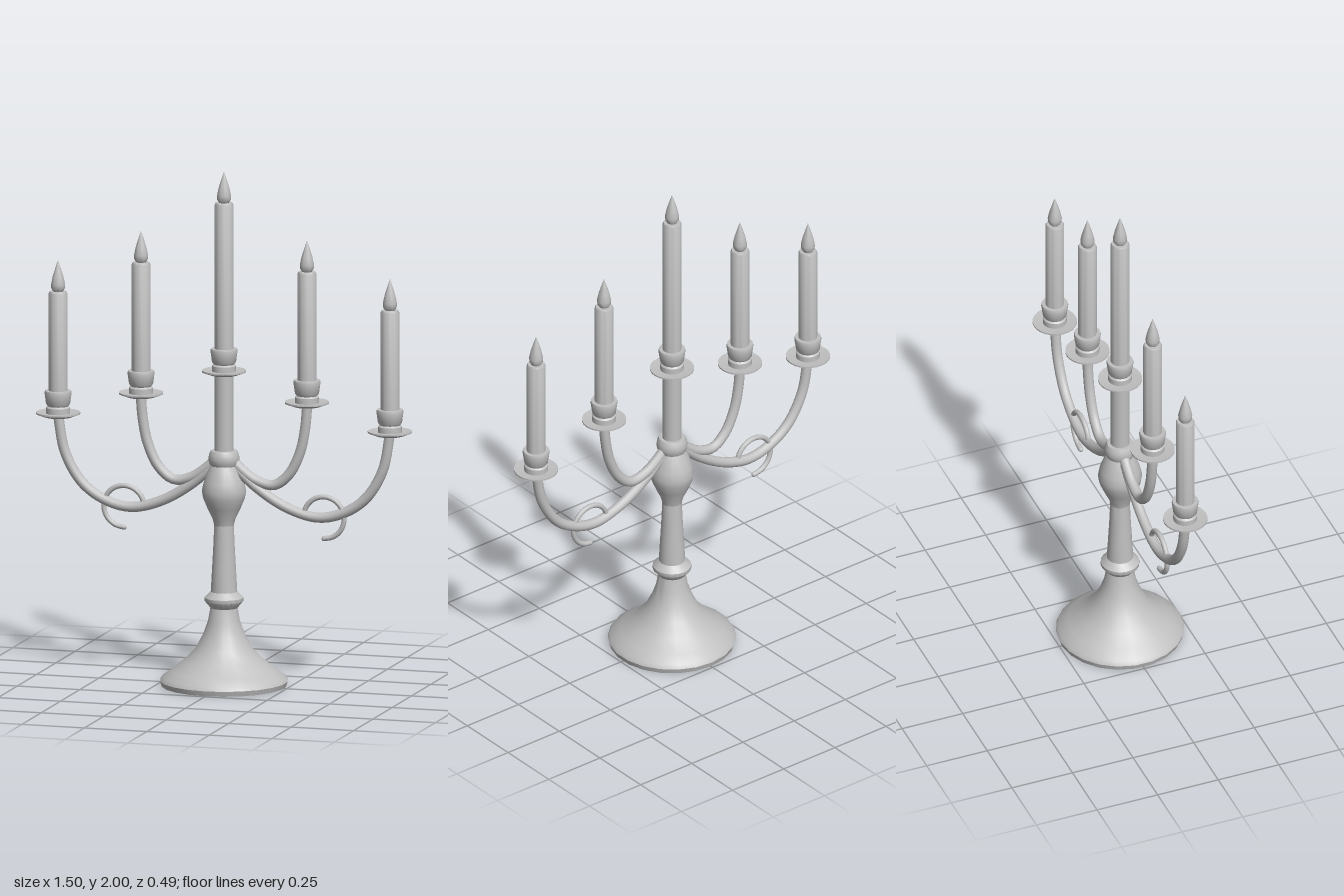
import * as THREE from 'three';
import { toCreasedNormals } from 'three/addons/utils/BufferGeometryUtils.js';

export function createModel() {
  const model = new THREE.Group();
  model.name = 'candelabra';
  const grey = new THREE.MeshStandardMaterial({ color: 0xc0c0c0 });
  grey.name = 'plain grey';

  const add = (parent, name, geometry, x = 0, y = 0) => {
    const mesh = new THREE.Mesh(geometry, grey);
    mesh.name = name;
    mesh.position.set(x, y, 0);
    parent.add(mesh);
    return mesh;
  };
  // Turned part from [radius, height] pairs, listed bottom to top
  const turned = (profile, sides = 20) => toCreasedNormals(
    new THREE.LatheGeometry(profile.map(([r, y]) => new THREE.Vector2(r, y)), sides), 0.7);

  // Foot, collar and shaft
  add(model, 'foot', turned([
    [0, 0], [0.24, 0], [0.246, 0.02], [0.237, 0.035], [0.2, 0.06], [0.152, 0.1], [0.108, 0.145],
    [0.08, 0.2], [0.062, 0.25], [0.052, 0.305]], 22));
  add(model, 'collar', turned([[0, 0.302], [0.052, 0.302], [0.074, 0.328], [0.074, 0.342], [0.05, 0.366], [0, 0.366]]));
  add(model, 'shaft', turned([[0.051, 0.36], [0.046, 0.45], [0.04, 0.56], [0.037, 0.65]]));

  // Swelling, bead and upper stem
  add(model, 'bulb', turned([
    [0.037, 0.62], [0.044, 0.648], [0.064, 0.69], [0.08, 0.728], [0.085, 0.757], [0.078, 0.79],
    [0.064, 0.83], [0.052, 0.856]]));
  add(model, 'bead', turned([[0.05, 0.852], [0.057, 0.865], [0.06, 0.882], [0.057, 0.9], [0.05, 0.914], [0, 0.916]]));
  add(model, 'stem', new THREE.CylinderGeometry(0.037, 0.037, 0.32, 20), 0, 1.06);

  // Drip pan, cup, candle and flame, measured from the pan's underside
  const panGeometry = turned([[0, 0], [0.052, 0], [0.085, 0.012], [0.085, 0.018], [0.05, 0.014], [0, 0.014]], 24);
  const cupGeometry = turned([
    [0.046, 0.012], [0.046, 0.036], [0.04, 0.042], [0.046, 0.05], [0.052, 0.094], [0.05, 0.102], [0.036, 0.102]]);
  const flameGeometry = turned([
    [0, 0], [0.018, 0.001], [0.026, 0.014], [0.027, 0.03], [0.021, 0.06], [0.011, 0.092], [0, 0.125]], 16);
  const addCandle = (x, panY, topY) => {
    const holder = new THREE.Group();
    holder.name = 'candleHolder';
    holder.position.set(x, panY, 0);
    model.add(holder);
    const h = topY - panY;
    add(holder, 'dripPan', panGeometry);
    add(holder, 'cup', cupGeometry);
    add(holder, 'candle', turned([[0.036, 0.04], [0.036, h - 0.008], [0.032, h], [0, h]]));
    add(holder, 'flame', flameGeometry, 0, h - 0.003);
  };
  addCandle(0, 1.208, 1.878);

  // Curved arms, each listed from the stem outwards
  const innerArm = [[0.02, 0.89], [0.07, 0.843], [0.13, 0.803], [0.2, 0.79], [0.26, 0.835], [0.305, 0.925], [0.325, 1.02], [0.333, 1.11]];
  const outerArm = [[0.02, 0.875], [0.13, 0.777], [0.25, 0.705], [0.37, 0.673], [0.47, 0.693], [0.565, 0.755], [0.635, 0.87], [0.665, 1.02]];
  const tube = (points, radius, segments) => new THREE.TubeGeometry(
    new THREE.CatmullRomCurve3(points.map(([x, y]) => new THREE.Vector3(x, y, 0))), segments, radius, 12);

  for (const side of [1, -1]) {
    const flip = (points) => points.map(([x, y]) => [x * side, y]);
    add(model, 'innerArm', tube(flip(innerArm), 0.02, 32));
    add(model, 'outerArm', tube(flip(outerArm), 0.02, 40));
    addCandle(0.332 * side, 1.104, 1.628);
    addCandle(0.664 * side, 1.008, 1.496);

    // Scroll: runs from its low tip round the outside and over into the arm
    const scroll = [];
    for (let i = 0; i <= 12; i++) {
      const a = -Math.PI / 2 + (i / 12) * Math.PI * 1.5;
      scroll.push([0.4 + 0.081 * Math.cos(a), 0.674 + 0.081 * Math.sin(a)]);
    }
    add(model, 'scroll', tube(flip(scroll), 0.01, 30));
    add(model, 'scrollTip', new THREE.SphereGeometry(0.01, 10, 8), 0.4 * side, 0.593);
  }
  return model;
}
